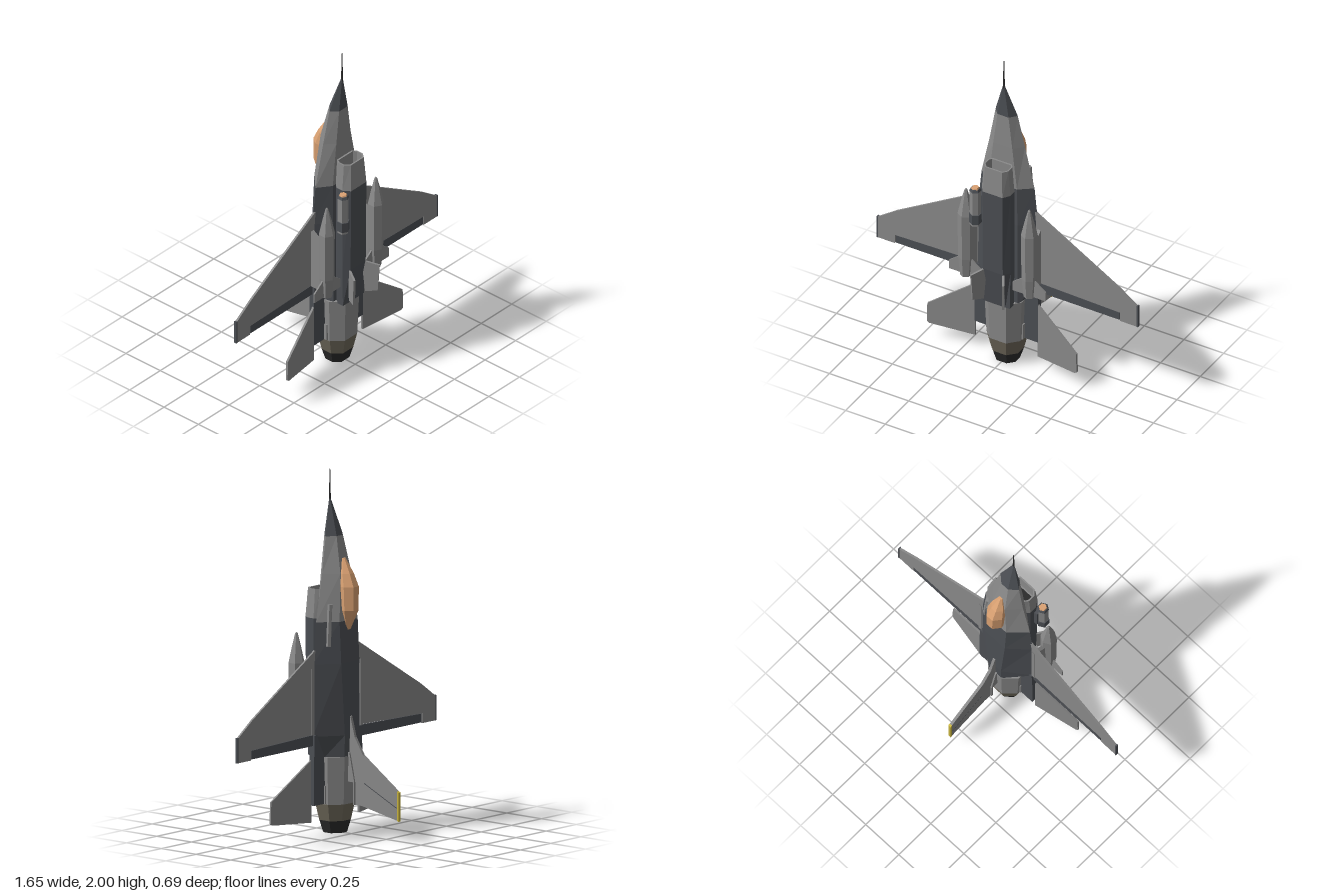
import * as THREE from 'three';

const paint = (color) => new THREE.MeshStandardMaterial({ color, flatShading: true });

export function createModel() {
  const jet = new THREE.Group();
  jet.name = 'fighterJet';
  const light = paint(0x8a8a8a), dark = paint(0x4c4f54), black = paint(0x2b2b2b);
  const glass = paint(0xdba273), bronze = paint(0x6e685a), yellow = paint(0xc8b440);

  const add = (name, geometry, material, x = 0, y = 0, z = 0) => {
    const mesh = new THREE.Mesh(geometry, material);
    mesh.name = name;
    mesh.position.set(x, y, z);
    jet.add(mesh);
    return mesh;
  };

  // Loft through stations [y, [x, z]...]: half outlines from back to belly, mirrored in x
  const loft = (name, material, stations) => {
    const rings = stations.map(([y, ...half]) => [
      ...half.map(([x, z]) => [x, y, z]),
      ...half.slice().reverse().map(([x, z]) => [-x, y, z]),
    ]);
    const v = [];
    const n = rings[0].length;
    const centre = (r) => [0, r[0][1], r.reduce((sum, p) => sum + p[2], 0) / n];
    const first = rings[0], last = rings[rings.length - 1];
    for (let j = 0; j < n; j++) {
      const k = (j + 1) % n;
      for (let i = 0; i + 1 < rings.length; i++) {
        const a = rings[i][j], b = rings[i][k], c = rings[i + 1][j], d = rings[i + 1][k];
        v.push(...a, ...b, ...d, ...a, ...d, ...c);
      }
      v.push(...centre(first), ...first[k], ...first[j]);
      v.push(...centre(last), ...last[j], ...last[k]);
    }
    const g = new THREE.BufferGeometry();
    g.setAttribute('position', new THREE.Float32BufferAttribute(v, 3));
    g.computeVertexNormals();
    return add(name, g, material);
  };

  // Flat panel: outline in (distance outward, y), turned from +x toward +z by angle
  const plate = (name, material, outline, thickness, angle = 0, x = 0, z = 0) => {
    const shape = new THREE.Shape(outline.map(([u, y]) => new THREE.Vector2(u, y)));
    const g = new THREE.ExtrudeGeometry(shape, { depth: thickness, bevelEnabled: false });
    g.translate(0, 0, -thickness / 2);
    const mesh = add(name, g, material, x, 0, z);
    mesh.rotation.y = -angle;
    return mesh;
  };

  // Nose and forward fuselage
  add('noseProbe', new THREE.CylinderGeometry(0.002, 0.006, 0.18, 6), black, 0, 1.91, 0.155);
  const noseBase = [1.64, [0.025, 0.085], [0.07, 0.125], [0.035, 0.165]];
  const cockpitEnd = [1.18, [0.075, 0.02], [0.167, 0.11], [0.09, 0.168]];
  loft('noseCone', dark, [[1.84, [0.002, 0.152], [0.005, 0.155], [0.002, 0.158]], noseBase]);
  loft('forwardFuselage', light, [
    noseBase,
    [1.44, [0.045, 0.04], [0.11, 0.115], [0.06, 0.167]],
    cockpitEnd,
  ]);

  // Bubble canopy
  const canopy = (y, w, top, base) =>
    [y, [w * 0.4, top], [w, top + (base - top) * 0.5], [w * 0.9, base]];
  loft('canopy', glass, [
    canopy(1.52, 0.012, 0.046, 0.065),
    canopy(1.44, 0.042, -0.003, 0.06),
    canopy(1.37, 0.055, -0.034, 0.05),
    canopy(1.24, 0.052, -0.034, 0.045),
    canopy(1.13, 0.015, 0.012, 0.035),
  ]);

  // Centre body
  loft('centreFuselage', dark, [
    cockpitEnd,
    [0.95, [0.075, 0.008], [0.19, 0.11], [0.1, 0.18]],
    [0.55, [0.05, 0.004], [0.195, 0.11], [0.1, 0.18]],
    [0.42, [0.045, 0.01], [0.118, 0.1], [0.1, 0.18]],
  ]);

  // Belly duct with a hollow intake mouth
  const duct = (y, k, bottom) =>
    [y, [0.07 * k, 0.172], [0.09 * k, 0.195], [0.09 * k, 0.237], [0.062 * k, bottom]];
  const mouth = [[0.06, 0.182], [0.07, 0.2], [0.07, 0.232], [0.05, 0.257]];
  loft('intake', light, [
    [1.24, ...mouth],
    [1.34, ...mouth],
    duct(1.34, 0.86, 0.266),
    duct(1.18, 1, 0.277),
  ]);
  add('intakeFan', new THREE.BoxGeometry(0.12, 0.004, 0.06), black, 0, 1.245, 0.217);
  loft('bellyDuct', dark, [duct(1.18, 1, 0.277), duct(0.66, 1, 0.272), duct(0.42, 0.95, 0.238)]);

  // Engine shroud and nozzle
  const ring = (y, r) => [y, [r * 0.45, 0.118 - r], [r * 1.05, 0.118 - r * 0.42],
    [r * 1.05, 0.118 + r * 0.42], [r * 0.5, 0.118 + r]];
  loft('engineShroud', light, [ring(0.43, 0.112), ring(0.165, 0.102)]);
  loft('nozzleRing', bronze, [ring(0.165, 0.102), ring(0.07, 0.082)]);
  loft('nozzlePetals', black, [
    ring(0.07, 0.082), ring(0, 0.062), ring(0, 0.054), ring(0.06, 0.05),
  ]);

  // Paired surfaces and stores
  for (const s of [1, -1]) {
    const side = s > 0 ? 'left' : 'right';
    const turn = (a) => (s > 0 ? a : Math.PI - a);

    plate(side + 'Wing', light, [
      [0.14, 1.05], [0.24, 0.99], [0.7, 0.715], [0.82, 0.63], [0.82, 0.495],
      [0.71, 0.495], [0.71, 0.55], [0.14, 0.565],
    ], 0.012, turn(0), 0, 0.111);
    plate(side + 'Flaperon', dark, [[0.19, 0.56], [0.705, 0.548], [0.705, 0.5], [0.19, 0.5]],
      0.009, turn(0), 0, 0.111);
    add(side + 'WingTipRail', new THREE.BoxGeometry(0.008, 0.14, 0.016), dark,
      s * 0.82, 0.565, 0.111);

    // Tail shelf with split speed brake
    plate(side + 'TailShelf', dark, [
      [0.09, 0.56], [0.195, 0.56], [0.2, 0.42], [0.2, 0.17], [0.12, 0.17], [0.09, 0.3],
    ], 0.035, turn(0), 0, 0.112);
    add(side + 'SpeedBrake', new THREE.BoxGeometry(0.035, 0.1, 0.06), light,
      s * 0.1, 0.22, 0.118);

    plate(side + 'Stabilator', light, [
      [0, 0.42], [0.277, 0.22], [0.28, 0.1], [0.265, 0.09], [0, 0.075],
    ], 0.012, turn(0.185), s * 0.198, 0.122);

    plate(side + 'VentralFin', light, [
      [-0.02, 0.66], [0.08, 0.64], [0.07, 0.475], [0, 0.46],
    ], 0.012, turn(1.05), s * 0.063, 0.268);

    // Drop tank, pylon and tank fins
    const tank = [[0, 0.54], [0.032, 0.54], [0.043, 0.66], [0.046, 0.95], [0.026, 1.04],
      [0.008, 1.11], [0, 1.12]].map(([r, y]) => new THREE.Vector2(r, y));
    add(side + 'DropTank', new THREE.LatheGeometry(tank, 6), light, s * 0.2, 0, 0.222);
    plate(side + 'TankPylon', light, [
      [0.1, 0.93], [0.19, 0.87], [0.19, 0.56], [0.1, 0.56],
    ], 0.022, Math.PI / 2, s * 0.2, 0);
    for (const a of [0, Math.PI]) {
      plate(side + 'TankFin', light, [
        [0.02, 0.66], [0.04, 0.65], [0.105, 0.6], [0.105, 0.545], [0.02, 0.545],
      ], 0.009, a, s * 0.2, 0.222);
    }
  }

  // Vertical fin with base fairing and coloured tip
  plate('verticalFin', light, [
    [-0.03, 0.66], [0, 0.65], [0.03, 0.54], [0.09, 0.445], [0.335, 0.277], [0.335, 0.115],
    [0.08, 0.165], [0.03, 0.165], [0.03, 0.295], [-0.03, 0.3],
  ], 0.016, -Math.PI / 2);
  plate('finTip', yellow, [[0.335, 0.277], [0.346, 0.27], [0.346, 0.11], [0.335, 0.115]],
    0.018, -Math.PI / 2);
  plate('rudderHinge', dark, [[0.1, 0.294], [0.33, 0.187], [0.33, 0.182], [0.1, 0.289]],
    0.018, -Math.PI / 2);
  plate('finBaseFairing', light, [[-0.03, 0.46], [0, 0.45], [0.035, 0.29], [0.035, 0.165],
    [0.025, 0.165], [0.025, 0.29], [-0.03, 0.29]], 0.034, -Math.PI / 2);

  // Gun fairing on the left shoulder
  const gun = add('gunFairing', new THREE.CylinderGeometry(0.014, 0.018, 0.23, 6), light,
    0.112, 1.16, 0.063);
  gun.rotation.z = 0.06;

  // Sensor pod hung beside the duct
  add('sensorPod', new THREE.CylinderGeometry(0.031, 0.031, 0.23, 6), light, -0.115, 1.05, 0.265);
  add('podBand', new THREE.CylinderGeometry(0.036, 0.036, 0.06, 6), dark, -0.115, 0.98, 0.265);
  add('podCollar', new THREE.CylinderGeometry(0.027, 0.034, 0.015, 6), dark, -0.115, 1.168, 0.265);
  add('podLens', new THREE.CylinderGeometry(0.02, 0.025, 0.01, 6), glass, -0.115, 1.178, 0.265);
  add('podMount', new THREE.BoxGeometry(0.04, 0.16, 0.03), dark, -0.09, 1.05, 0.238);

  return jet;
}
